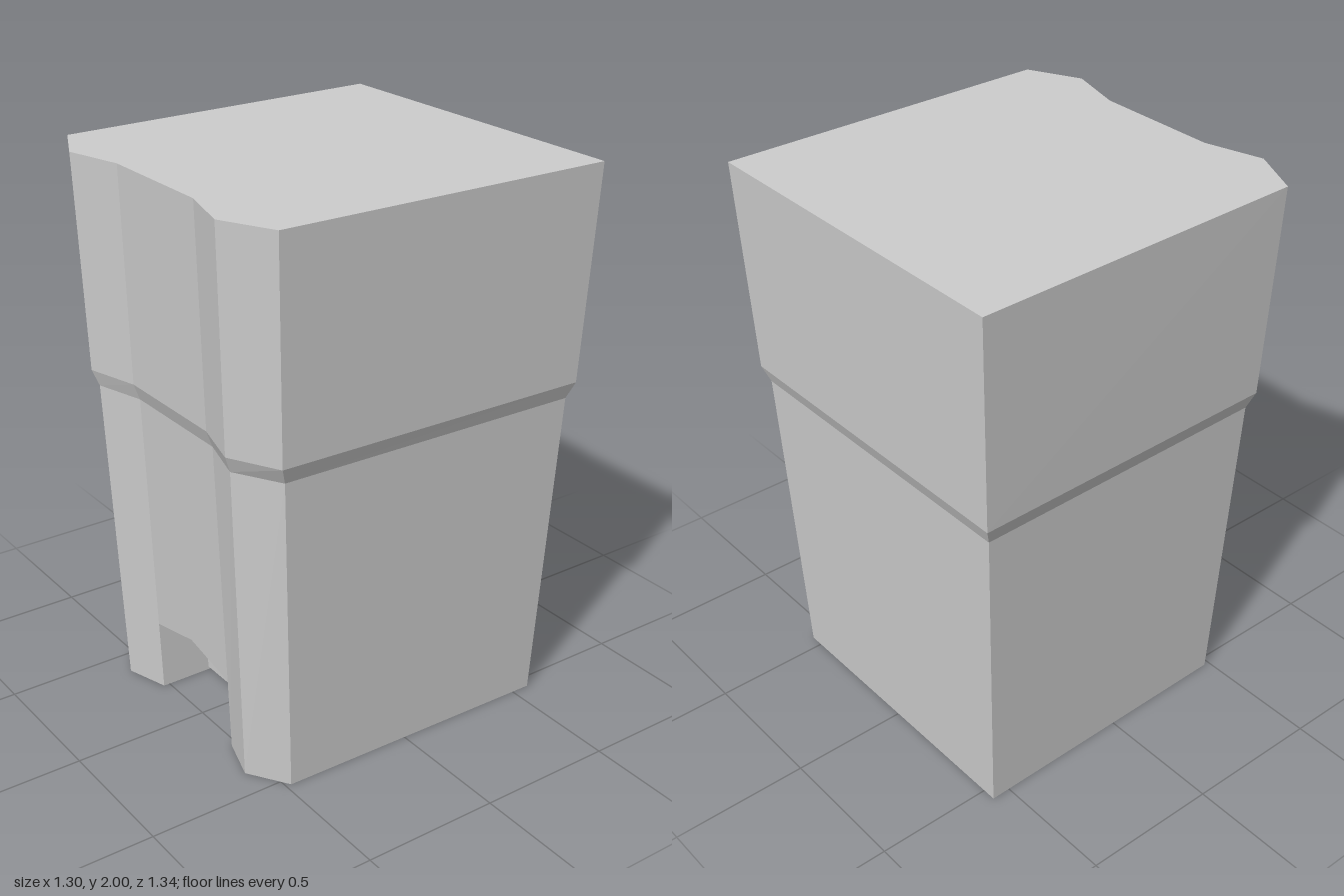
import * as THREE from 'three';

// Flat polygons, each a list of points counter-clockwise from outside, as triangle fans
function faces(name, polygons, material) {
  const pos = [];
  for (const p of polygons) {
    for (let i = 1; i < p.length - 1; i++) pos.push(...p[0], ...p[i], ...p[i + 1]);
  }
  const geometry = new THREE.BufferGeometry();
  geometry.setAttribute('position', new THREE.Float32BufferAttribute(pos, 3));
  geometry.computeVertexNormals();
  const mesh = new THREE.Mesh(geometry, material);
  mesh.name = name;
  return mesh;
}

const NOTCH_X = 0.23, NOTCH_Z = 0.33, LIP = 0.012, EAVE = 0.27, PEAK = 0.32;

// Cross-section: square back, chamfered front corners and a recessed front panel
function ring({ y, back, backX, sideX, sideZ, cornerX, cornerZ, panelZ }) {
  const half = [[backX, back], [sideX, sideZ], [cornerX, cornerZ], [NOTCH_X, panelZ]];
  return [
    ...half.map(([x, z]) => [-x, y, z]),
    ...half.slice().reverse().map(([x, z]) => [x, y, z]),
  ];
}

// Side walls between two cross-sections, optionally leaving out one side
function walls(lower, upper, skip = -1) {
  const quads = [];
  for (let i = 0; i < lower.length; i++) {
    const j = (i + 1) % lower.length;
    if (i !== skip) quads.push([lower[i], lower[j], upper[j], upper[i]]);
  }
  return quads;
}

const mirror = (polygon) => polygon.map(([x, y, z]) => [-x, y, z]).reverse();

export function createModel() {
  const group = new THREE.Group();
  group.name = 'taperedBlock';
  const grey = new THREE.MeshStandardMaterial({ color: 0xcccccc });
  grey.name = 'light grey';
  grey.flatShading = true;

  const base = ring({ y: 0, back: -0.57, backX: 0.55, sideX: 0.533, sideZ: 0.48, cornerX: 0.39, cornerZ: 0.573, panelZ: 0.523 });
  const ledgeLow = ring({ y: 1.17, back: -0.617, backX: 0.6, sideX: 0.58, sideZ: 0.527, cornerX: 0.415, cornerZ: 0.62, panelZ: 0.567 });
  const ledgeHigh = ring({ y: 1.23, back: -0.64, backX: 0.622, sideX: 0.602, sideZ: 0.55, cornerX: 0.425, cornerZ: 0.643, panelZ: 0.589 });
  const top = ring({ y: 2, back: -0.67, backX: 0.65, sideX: 0.63, sideZ: 0.575, cornerX: 0.44, cornerZ: 0.668, panelZ: 0.61 });

  // Depth of the leaning front panel at a given height
  const panelZ = (y) => base[3][2] + (ledgeLow[3][2] - base[3][2]) * y / 1.17;
  const peak = [0, PEAK, panelZ(PEAK)];
  const eaveL = [-NOTCH_X, EAVE, panelZ(EAVE)];
  const eaveR = [NOTCH_X, EAVE, panelZ(EAVE)];

  // Body, with the lower front panel cut around the notch
  group.add(faces('lowerBody', walls(base, ledgeLow, 3), grey));
  group.add(faces('frontPanel', [[peak, eaveR, ledgeLow[4], ledgeLow[3], eaveL]], grey));
  group.add(faces('ledge', walls(ledgeLow, ledgeHigh), grey));
  group.add(faces('upperBody', walls(ledgeHigh, top), grey));
  group.add(faces('topFace', [top], grey));

  // Notch with a gabled ceiling
  const side = [
    base[3], [-NOTCH_X, 0, -0.57], [-NOTCH_X, LIP, NOTCH_Z], [-NOTCH_X, EAVE, NOTCH_Z], eaveL,
  ];
  const ceiling = [eaveL, [-NOTCH_X, EAVE, NOTCH_Z], [0, PEAK, NOTCH_Z], peak];
  const rear = [
    [-NOTCH_X, LIP, NOTCH_Z], [NOTCH_X, LIP, NOTCH_Z], [NOTCH_X, EAVE, NOTCH_Z],
    [0, PEAK, NOTCH_Z], [-NOTCH_X, EAVE, NOTCH_Z],
  ];
  group.add(faces('notch', [side, mirror(side), ceiling, mirror(ceiling), rear], grey));

  // Underside: two flat feet and a slightly sloping middle
  const foot = [[-NOTCH_X, 0, -0.57], base[3], base[2], base[1], base[0]];
  const middle = [
    [-NOTCH_X, 0, -0.57], [NOTCH_X, 0, -0.57], [NOTCH_X, LIP, NOTCH_Z], [-NOTCH_X, LIP, NOTCH_Z],
  ];
  group.add(faces('underside', [foot, mirror(foot), middle], grey));

  return group;
}
